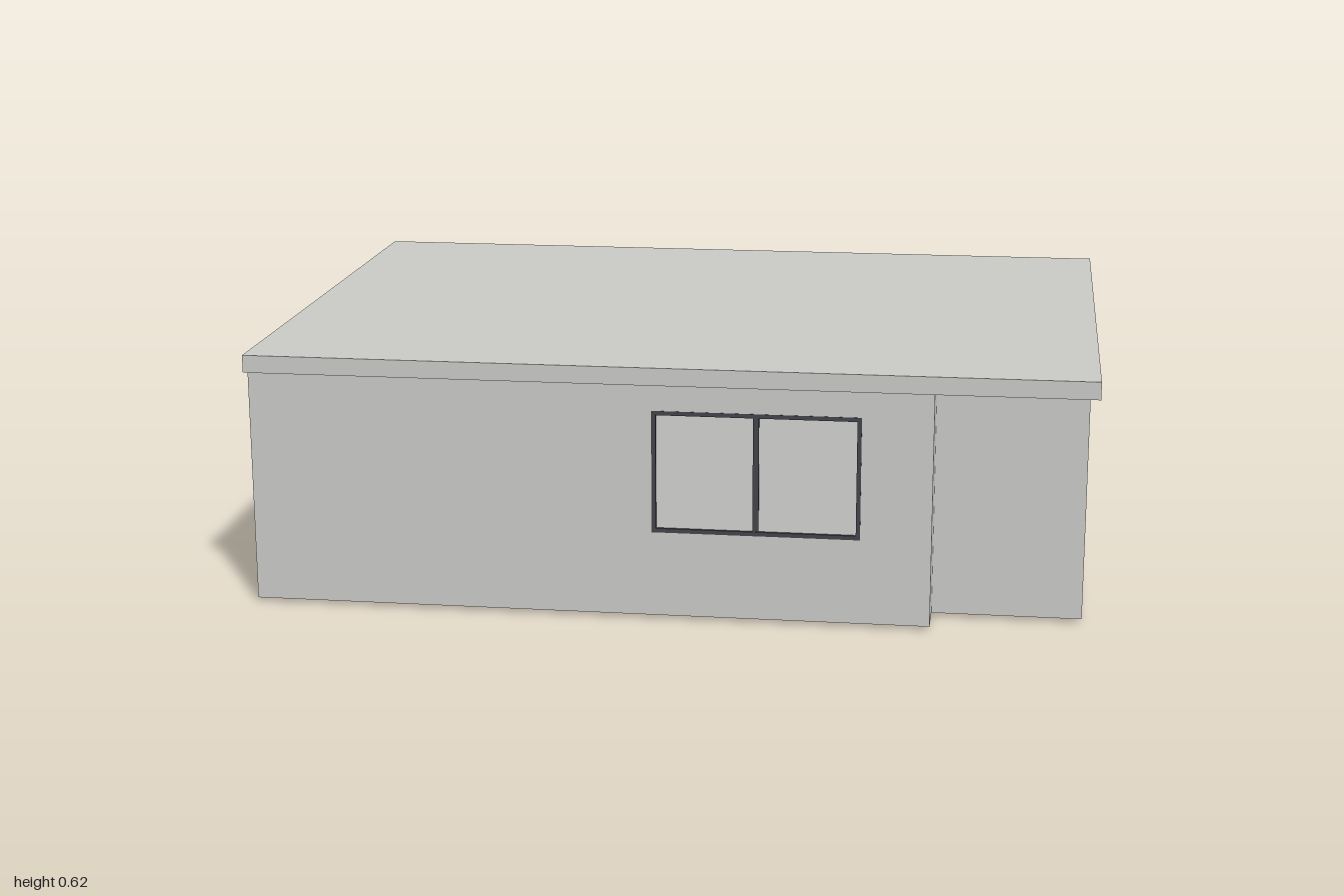
import * as THREE from 'three';

const mat = (name, color, side = THREE.FrontSide) => {
  const m = new THREE.MeshStandardMaterial({ color, side });
  m.name = name;
  return m;
};

export function createModel() {
  const model = new THREE.Group();
  model.name = 'pavilion';
  const M = {
    concrete: mat('concrete', 0xc8c8c5),
    paving: mat('paving', 0x8f8f8b),
    floorWood: mat('floorWood', 0x917b64),
    slatWood: mat('slatWood', 0xa28560),
    frame: mat('darkMetal', 0x40434a),
    door: mat('doorPanel', 0x5c5e62),
    glass: mat('pane', 0xcfcfcd),
    lamp: mat('lampShade', 0xa39c94),
    leaf: mat('leaf', 0x8a6a45, THREE.DoubleSide),
  };

  const add = (name, geometry, material, parent = model) => {
    const mesh = new THREE.Mesh(geometry, material);
    mesh.name = name;
    parent.add(mesh);
    return mesh;
  };
  // box given by its lower and upper limits on each axis
  const box = (name, m, x0, x1, y0, y1, z0, z1, parent = model) => {
    const b = add(name, new THREE.BoxGeometry(x1 - x0, y1 - y0, z1 - z0), m, parent);
    b.position.set((x0 + x1) / 2, (y0 + y1) / 2, (z0 + z1) / 2);
    return b;
  };
  const group = (name, x = 0, y = 0, z = 0) => {
    const g = new THREE.Group();
    g.name = name;
    g.position.set(x, y, z);
    model.add(g);
    return g;
  };

  const BASE = 0.01, TOP = 0.575, T = 0.025;

  // wall from a to b; doors are notches [from, to, top], windows are holes
  const wall = (name, a, b, doors = [], windows = []) => {
    const s = new THREE.Shape();
    s.moveTo(a, BASE);
    for (const [d0, d1, top] of doors) {
      s.lineTo(d0, BASE);
      s.lineTo(d0, top);
      s.lineTo(d1, top);
      s.lineTo(d1, BASE);
    }
    s.lineTo(b, BASE);
    s.lineTo(b, TOP);
    s.lineTo(a, TOP);
    s.closePath();
    for (const [x0, x1, y0, y1] of windows) {
      const h = new THREE.Path();
      h.moveTo(x0, y0);
      h.lineTo(x0, y1);
      h.lineTo(x1, y1);
      h.lineTo(x1, y0);
      h.closePath();
      s.holes.push(h);
    }
    return add(name, new THREE.ExtrudeGeometry(s, { depth: T, bevelEnabled: false }), M.concrete);
  };

  // roof slab
  box('roof', M.concrete, -1, 1, TOP, 0.617, -0.72, 0.72);

  // main room walls
  wall('frontWall', -0.99, 0.625, [], [[-0.03, 0.46, 0.215, 0.51]]).position.z = 0.7 - T;
  wall('backWall', -0.99, 0.625).position.z = -0.7;
  const left = wall('leftWall', -0.7, 0.7, [[0.03, 0.235, 0.47]]);
  left.rotation.y = -Math.PI / 2;
  left.position.x = -0.995 + T;
  const right = wall('balconyWall', -0.7, 0.7, [[-0.5, -0.24, 0.5], [0.08, 0.57, 0.5]]);
  right.rotation.y = -Math.PI / 2;
  right.position.x = 0.626;
  box('roomFloor', M.floorWood, -0.97, 0.6, 0.008, 0.02, -0.675, 0.675);

  // framed panes; drawn in a local plane and then placed
  const framed = (name, w, h, bar, mullions) => {
    const g = group(name);
    for (const s of [-1, 1]) {
      box('frameSide', M.frame, s * (w - bar) / 2 - bar / 2, s * (w - bar) / 2 + bar / 2, 0, h, -0.012, 0.012, g);
    }
    box('frameBottom', M.frame, -w / 2, w / 2, 0, bar, -0.011, 0.011, g);
    box('frameTop', M.frame, -w / 2, w / 2, h - bar, h, -0.011, 0.011, g);
    for (const x of mullions) box('mullion', M.frame, x - 0.007, x + 0.007, 0, h, -0.01, 0.01, g);
    box('glassPane', M.glass, -w / 2 + bar, w / 2 - bar, bar, h - bar, -0.004, 0.004, g);
    return g;
  };
  framed('frontWindow', 0.49, 0.295, 0.01, [0]).position.set(0.215, 0.215, 0.69);
  for (const [name, z0, z1, m] of [['wideGlassDoor', 0.08, 0.57, [0.236]], ['narrowGlassDoor', -0.5, -0.24, []]]) {
    const g = framed(name, z1 - z0, 0.5, 0.01, m);
    g.rotation.y = Math.PI / 2;
    g.position.set(0.614, 0, (z0 + z1) / 2);
  }

  // recessed entrance door
  box('entranceDoor', M.door, -0.98, -0.971, BASE, 0.47, 0.03, 0.235);

  // balcony shell
  for (const s of [-1, 1]) {
    const z = s * 0.5875;
    box('balconySideWall', M.concrete, 0.625, 0.98, BASE, TOP, z - 0.0125, z + 0.0125);
  }
  box('balconyFloor', M.paving, 0.626, 0.955, BASE, 0.025, -0.575, 0.575);
  box('parapet', M.concrete, 0.95, 0.978, BASE, 0.236, -0.575, 0.575);
  box('railing', M.frame, 0.948, 0.98, 0.236, 0.247, -0.572, 0.572);

  // vertical screen of slats
  const screen = group('slatScreen');
  for (let i = 0; i < 31; i++) {
    const z = 0.546 - i * 0.0362;
    box('slat', M.slatWood, 0.952, 0.977, 0.247, TOP, z - 0.006, z + 0.006, screen);
  }

  // hanging globe lamp
  const lamp = group('lamp', 0.78, 0.4, 0.44);
  add('globe', new THREE.SphereGeometry(0.048, 24, 16), M.lamp, lamp);
  box('cord', M.frame, -0.002, 0.002, 0.045, 0.175, -0.002, 0.002, lamp);

  // table and two chairs
  const legs = (g, w, d, h) => {
    for (const x of [-1, 1]) for (const z of [-1, 1]) {
      box('leg', M.slatWood, x * w - 0.006, x * w + 0.006, 0, h, z * d - 0.006, z * d + 0.006, g);
    }
  };
  const table = group('table', 0.79, 0.025, -0.12);
  box('tableTop', M.slatWood, -0.08, 0.08, 0.15, 0.165, -0.13, 0.13, table);
  legs(table, 0.065, 0.11, 0.15);
  for (const s of [-1, 1]) {
    const chair = group('chair', 0.79, 0.025, -0.12 + s * 0.2);
    box('seat', M.slatWood, -0.05, 0.05, 0.09, 0.1, -0.05, 0.05, chair);
    box('chairBack', M.slatWood, -0.05, 0.05, 0.1, 0.2, s * 0.045 - 0.005, s * 0.045 + 0.005, chair);
    legs(chair, 0.042, 0.042, 0.09);
  }

  // potted plant with leaf tips reaching past the parapet
  const plant = group('plant', 0.9, 0.025, -0.5);
  add('pot', new THREE.CylinderGeometry(0.035, 0.025, 0.06, 16), M.paving, plant).position.y = 0.03;
  for (let i = 0; i < 9; i++) {
    const a = (i / 9) * Math.PI * 2;
    const leaf = add('leaf', new THREE.ConeGeometry(0.006, 0.1, 5), M.leaf, plant);
    leaf.position.set(Math.cos(a) * 0.025, 0.09, Math.sin(a) * 0.025);
    leaf.rotation.set(Math.sin(a) * 0.6, 0, -Math.cos(a) * 0.6);
  }
  for (const [y, z] of [[0.12, -0.5], [0.13, -0.525], [0.145, -0.545]]) {
    box('leafTip', M.leaf, 0.97, 0.984, y - 0.004, y + 0.004, z - 0.006, z + 0.006);
  }
  box('drainSpout', M.frame, 0.97, 0.981, 0.108, 0.117, 0.507, 0.513);

  return model;
}
